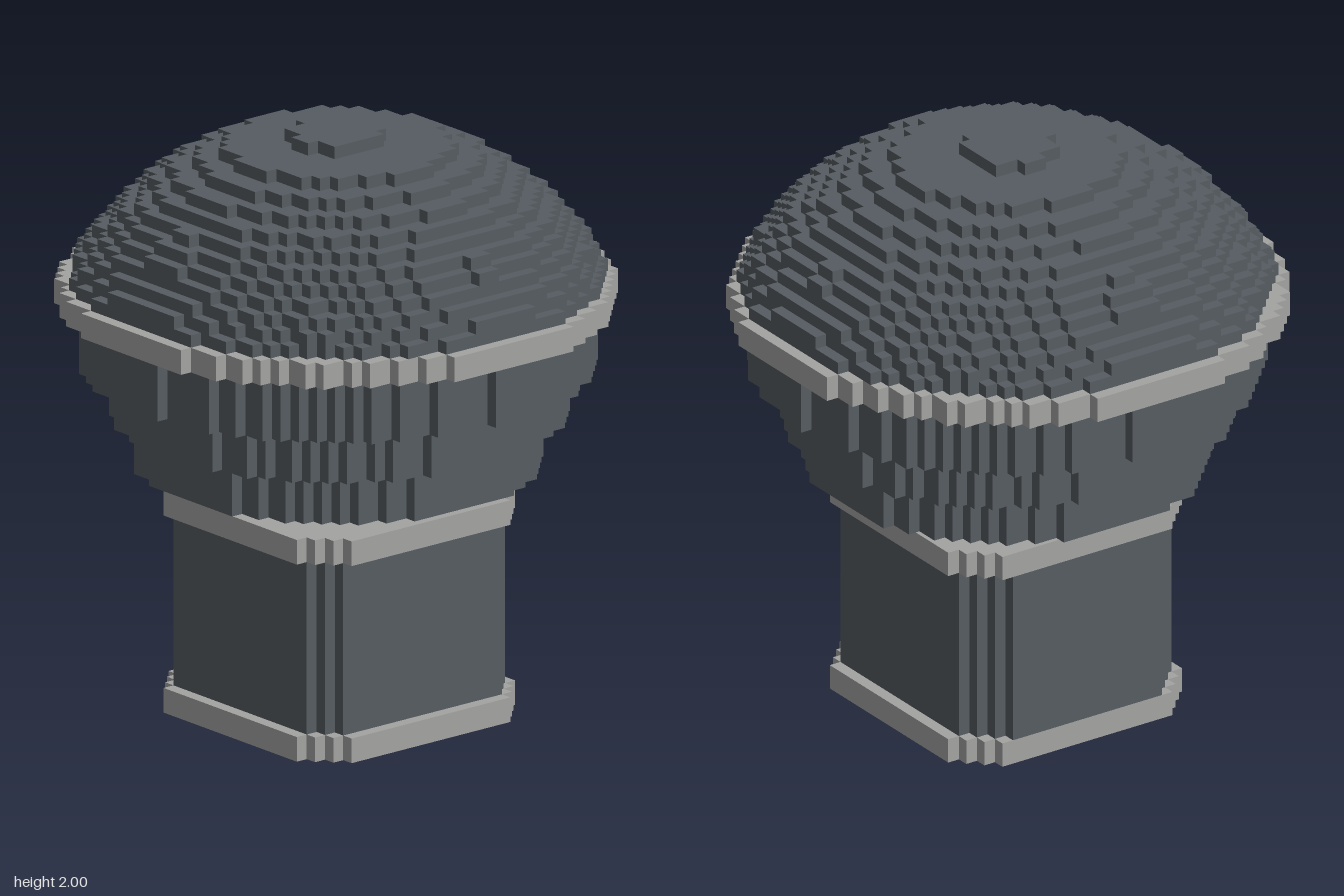
import * as THREE from 'three';

const U = 2 / 47; // edge of one block
const SHIFT = -0.05; // round layers sit slightly off the block grid

const darkStone = new THREE.MeshStandardMaterial({ color: 0x555c61 });
const lightStone = new THREE.MeshStandardMaterial({ color: 0xa3a4a2 });

// Rules deciding which block centres belong to a layer
const disc = (r) => (x, z) => (x - SHIFT) ** 2 + (z - SHIFT) ** 2 <= r * r;
const chamferedSquare = (half, back, sum) => (x, z) =>
  Math.abs(x) < half && z < half && z > -back && Math.abs(x) + Math.abs(z) < sum + 0.1;

// Stepped slab: trace the blocks row by row, then extrude upwards
function slab(name, inside, y0, y1, material) {
  const right = [];
  const left = [];
  for (let z = -24; z < 24; z++) {
    let min = Infinity;
    let max = -Infinity;
    for (let x = -24; x < 24; x++) {
      if (inside(x + 0.5, z + 0.5)) {
        min = Math.min(min, x);
        max = Math.max(max, x + 1);
      }
    }
    if (max > min) {
      right.push([max, -z], [max, -z - 1]);
      left.push([min, -z], [min, -z - 1]);
    }
  }
  const loop = right.concat(left.reverse());
  // Keep corners only
  const distinct = loop.filter((p, i) => {
    const q = loop[(i + 1) % loop.length];
    return p[0] !== q[0] || p[1] !== q[1];
  });
  const corners = distinct.filter((p, i) => {
    const a = distinct[(i + distinct.length - 1) % distinct.length];
    const b = distinct[(i + 1) % distinct.length];
    return (p[0] - a[0]) * (b[1] - p[1]) !== (p[1] - a[1]) * (b[0] - p[0]);
  });
  const shape = new THREE.Shape(corners.map(([x, y]) => new THREE.Vector2(x * U, y * U)));
  const geometry = new THREE.ExtrudeGeometry(shape, { depth: (y1 - y0) * U, bevelEnabled: false });
  geometry.rotateX(-Math.PI / 2);
  geometry.translate(0, y0 * U, 0);
  const mesh = new THREE.Mesh(geometry, material);
  mesh.name = name;
  return mesh;
}

export function createModel() {
  const model = new THREE.Group();
  model.name = 'steppedDomeOnStem';

  // Stem with a light band at each end
  const band = chamferedSquare(11, 11, 18);
  model.add(
    slab('baseBand', band, 0, 2, lightStone),
    slab('stem', chamferedSquare(10, 11, 17), 2, 16, darkStone),
    slab('stemTopBand', band, 16, 18, lightStone),
  );

  // Floating head: three widening tiers and a light rim
  model.add(
    slab('lowerTier', disc(15.4), 20, 24, darkStone),
    slab('middleTier', disc(17.25), 24, 28, darkStone),
    slab('upperTier', disc(19.6), 28, 33, darkStone),
    slab('rim', disc(21.29), 33, 35, lightStone),
  );

  // Dome of one-block layers
  const dome = new THREE.Group();
  dome.name = 'dome';
  const radii = [20.4, 19.85, 19.2, 18.4, 17.6, 16.6, 15.5, 14.2, 12.7, 10.8, 8.75, 3.54];
  radii.forEach((r, i) => dome.add(slab('domeLayer', disc(r), 35 + i, 36 + i, darkStone)));
  model.add(dome);

  return model;
}
